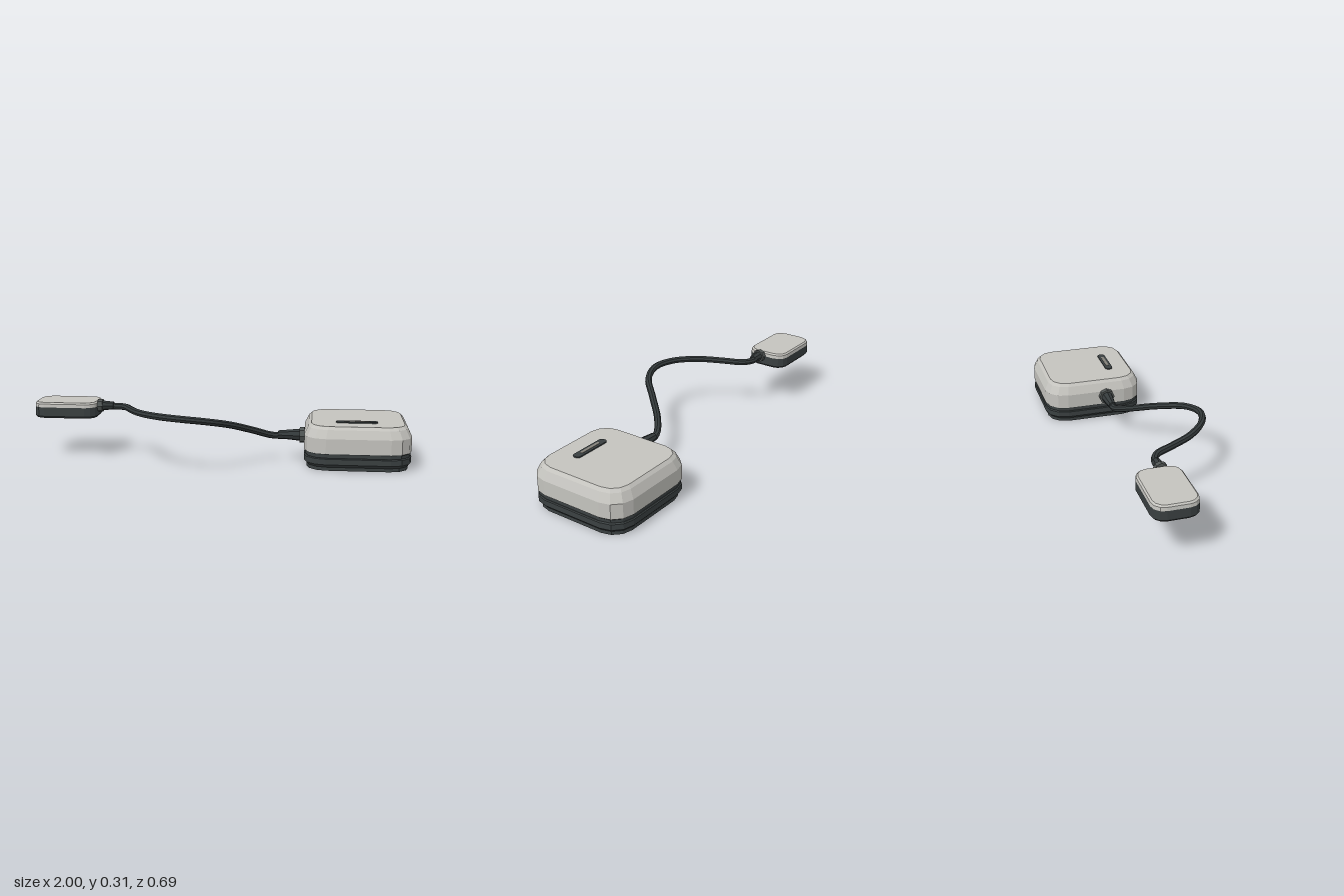
import * as THREE from 'three';

const mat = (name, color) => {
  const m = new THREE.MeshStandardMaterial({ color, flatShading: true });
  m.name = name;
  return m;
};

// Closed solid lofted through rounded rectangles; rings are [y, inset]
function loft(w, d, r, rings, seg = 3) {
  const pos = [], idx = [], n = 4 * (seg + 1);
  for (const [y, inset] of rings) {
    const rr = Math.max(r - inset * 0.6, 0.004);
    const hx = w / 2 - inset - rr, hz = d / 2 - inset - rr;
    for (let c = 0; c < 4; c++) {
      const sx = c === 0 || c === 3 ? 1 : -1, sz = c < 2 ? 1 : -1;
      for (let i = 0; i <= seg; i++) {
        const a = (c + i / seg) * Math.PI / 2;
        pos.push(sx * hx + rr * Math.cos(a), y, sz * hz + rr * Math.sin(a));
      }
    }
  }
  for (let k = 0; k < rings.length - 1; k++) {
    for (let i = 0; i < n; i++) {
      const a = k * n + i, b = k * n + (i + 1) % n;
      idx.push(a, a + n, b, b, a + n, b + n);
    }
  }
  const top = (rings.length - 1) * n;
  for (let i = 1; i < n - 1; i++) {
    idx.push(0, i, i + 1);
    idx.push(top, top + i + 1, top + i);
  }
  const g = new THREE.BufferGeometry();
  g.setAttribute('position', new THREE.Float32BufferAttribute(pos, 3));
  g.setIndex(idx);
  g.computeVertexNormals();
  return g;
}

export function createModel() {
  const root = new THREE.Group();
  root.name = 'cabledDevice';
  const shell = mat('pale grey shell', 0xc4c3be);
  const dark = mat('charcoal plastic', 0x3a4041);
  const groove = mat('dark groove', 0x2b3031);
  const cableMat = mat('cable rubber', 0x343a3b);
  const collarMat = mat('collar grey', 0x505554);
  const lens = mat('indicator grey', 0x85827a);

  const add = (parent, name, geo, material, x = 0, y = 0, z = 0) => {
    const m = new THREE.Mesh(geo, material);
    m.name = name;
    m.position.set(x, y, z);
    parent.add(m);
    return m;
  };

  // Large unit
  const main = new THREE.Group();
  main.name = 'mainUnit';
  main.position.set(0.725, 0, -0.075);
  root.add(main);
  const S = 0.548, R = 0.11;
  add(main, 'foot', loft(S, S, R, [[0, 0.015], [0.02, 0.015]]), dark);
  add(main, 'baseBand', loft(S, S, R, [[0.018, 0.015], [0.034, 0], [0.063, 0], [0.067, 0.005]]), dark);
  add(main, 'baseGroove', loft(S, S, R, [[0.066, 0.008], [0.072, 0.008]]), groove);
  add(main, 'upperBand', loft(S, S, R, [[0.07, 0.005], [0.085, 0.005], [0.09, 0.002]]), dark);
  add(main, 'upperShell', loft(S, S, R, [[0.09, 0], [0.167, 0], [0.21, 0.021], [0.225, 0.036]]), shell);
  add(main, 'slot', loft(0.215, 0.042, 0.018, [[0.224, 0], [0.231, 0]]), dark, -0.005, 0, 0.122);
  add(main, 'indicator', loft(0.13, 0.016, 0.006, [[0.23, 0], [0.233, 0]]), lens, -0.005, 0, 0.122);

  // Small unit
  const small = new THREE.Group();
  small.name = 'smallUnit';
  small.position.set(-0.83, 0, -0.075);
  root.add(small);
  add(small, 'smallBase', loft(0.34, 0.228, 0.06, [[0.212, 0.008], [0.222, 0], [0.27, 0]]), dark);
  add(small, 'smallLid', loft(0.34, 0.228, 0.06, [[0.27, 0], [0.288, 0.002], [0.296, 0.01]]), shell);

  // Drooping cable
  const path = new THREE.CatmullRomCurve3([
    [-0.65, 0.272, -0.046], [-0.57, 0.268, -0.05], [-0.51, 0.271, -0.022], [-0.46, 0.275, 0.07],
    [-0.39, 0.28, 0.19], [-0.28, 0.284, 0.29], [-0.16, 0.28, 0.325], [-0.04, 0.262, 0.285],
    [0.08, 0.222, 0.165], [0.19, 0.172, 0.05], [0.28, 0.137, -0.01], [0.35, 0.134, -0.018],
    [0.45, 0.14, -0.018],
  ].map(p => new THREE.Vector3(...p)));
  add(root, 'cable', new THREE.TubeGeometry(path, 64, 0.018, 8), cableMat);

  // Strain reliefs: tapered sleeve, end ring and collar along x
  const relief = (name, x, y, z, dir, length, r, collarR) => {
    const g = new THREE.Group();
    g.name = name;
    g.position.set(x, y, z);
    g.rotation.z = dir * -Math.PI / 2;
    root.add(g);
    add(g, 'collar', new THREE.CylinderGeometry(collarR, collarR, 0.026, 8), collarMat, 0, 0.004, 0);
    add(g, 'sleeve', new THREE.CylinderGeometry(0.021, r, length, 8), cableMat, 0, length / 2, 0);
  };
  relief('mainStrainRelief', 0.442, 0.14, -0.018, -1, 0.13, 0.034, 0.043);
  relief('smallStrainRelief', -0.652, 0.272, -0.046, 1, 0.075, 0.028, 0.035);

  return root;
}
